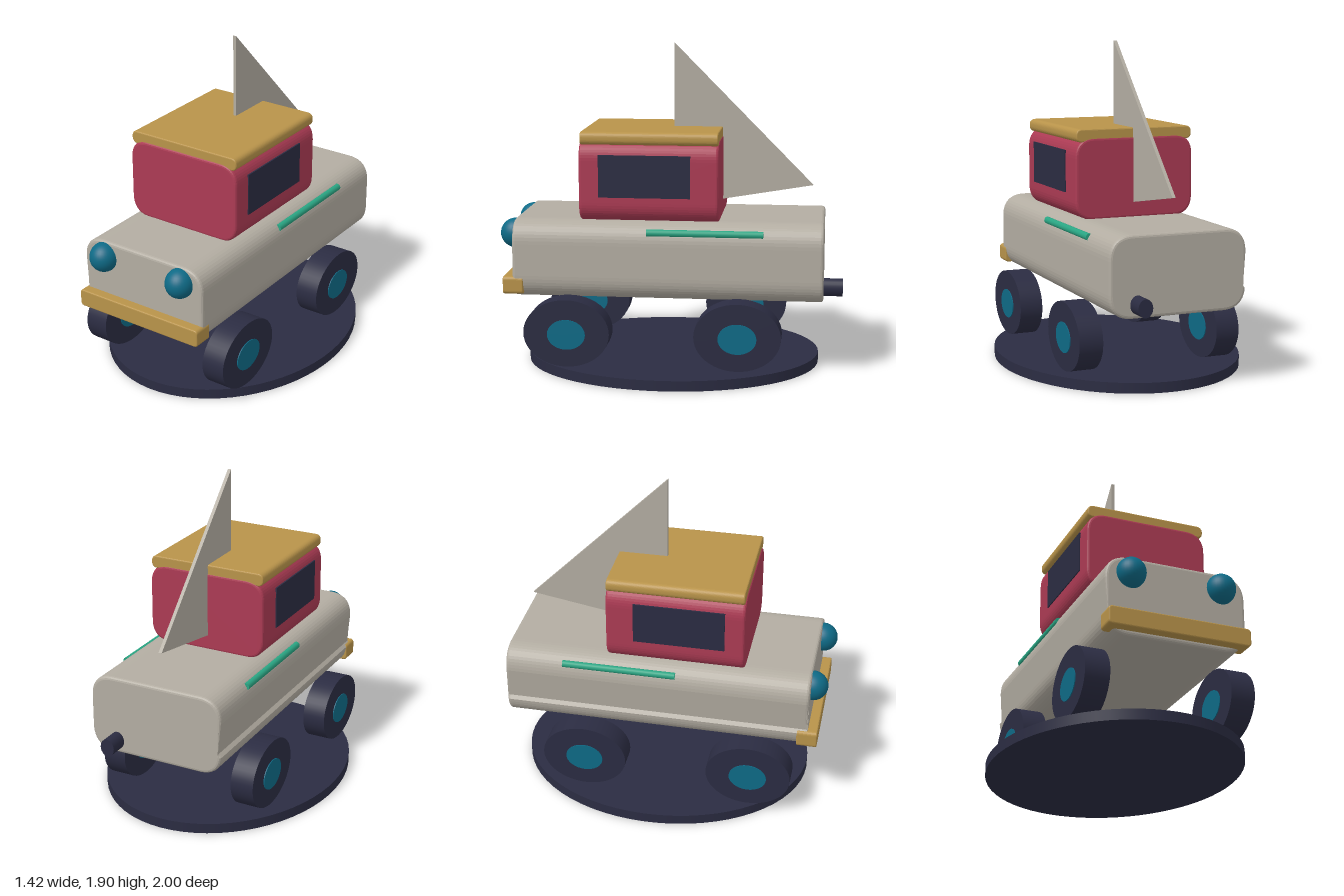
import * as THREE from 'three';

const flat = (name, hex) => {
  const m = new THREE.MeshStandardMaterial({ color: hex });
  m.name = name;
  return m;
};

// Rounded rectangle in x-y, extruded along z with a bevel; all sizes are outer sizes
function roundedBlock(w, y0, y1, z0, z1, r, b) {
  const x = w / 2 - b, lo = y0 + b, hi = y1 - b;
  const s = new THREE.Shape();
  s.moveTo(-x, lo + r);
  s.lineTo(-x, hi - r);
  s.quadraticCurveTo(-x, hi, -x + r, hi);
  s.lineTo(x - r, hi);
  s.quadraticCurveTo(x, hi, x, hi - r);
  s.lineTo(x, lo + r);
  s.quadraticCurveTo(x, lo, x - r, lo);
  s.lineTo(-x + r, lo);
  s.quadraticCurveTo(-x, lo, -x, lo + r);
  const g = new THREE.ExtrudeGeometry(s, {
    depth: z1 - z0 - 2 * b, bevelEnabled: true, bevelSize: b,
    bevelThickness: b, bevelSegments: 3, curveSegments: 12,
  });
  return g.translate(0, 0, z0 + b);
}

export function createModel() {
  const group = new THREE.Group();
  const stone = flat('warm grey', 0xb3ada2);
  const red = flat('crimson', 0xac3b54);
  const ochre = flat('ochre', 0xb8934a);
  const navy = flat('dark navy', 0x2b2c42);
  const teal = flat('teal', 0x0e6a86);
  const green = flat('green', 0x2aa583);

  const add = (name, geometry, material, x = 0, y = 0, z = 0) => {
    const mesh = new THREE.Mesh(geometry, material);
    mesh.name = name;
    mesh.position.set(x, y, z);
    group.add(mesh);
    return mesh;
  };

  // Oval base plate
  add('basePlate', new THREE.CylinderGeometry(1, 1, 0.06, 64).scale(0.71, 1, 0.872), navy, 0, 0.03, 0.01);

  // Main body, with a shallow crease low on one flank
  const body = roundedBlock(0.82, 0.435, 0.895, -0.89, 0.908, 0.12, 0.018);
  const p = body.attributes.position;
  for (let i = 0; i < p.count; i++) {
    if (p.getX(i) < -0.39 && Math.abs(p.getY(i) - 0.573) < 0.004) p.setX(i, -0.392);
  }
  body.computeVertexNormals();
  add('body', body, stone);

  // Cabin and roof
  add('cabin', roundedBlock(0.73, 0.887, 1.36, -0.287, 0.52, 0.1, 0.016), red);
  add('roof', roundedBlock(0.72, 1.335, 1.41, -0.283, 0.513, 0.027, 0.008), ochre);

  // Front bumper
  add('bumper', roundedBlock(0.826, 0.462, 0.566, 0.845, 0.965, 0.015, 0.008), ochre);

  // Triangular sail in the middle plane
  const tri = new THREE.Shape([
    new THREE.Vector2(0, 0.93), new THREE.Vector2(0.823, 1.07), new THREE.Vector2(0, 1.9),
  ]);
  const sail = new THREE.ExtrudeGeometry(tri, { depth: 0.02, bevelEnabled: false });
  sail.translate(0, 0, -0.01).rotateY(Math.PI / 2);
  add('sail', sail, stone, 0, 0, 0.005);

  // Exhaust pipe
  const pipe = new THREE.CylinderGeometry(1, 1, 0.2, 24).rotateX(Math.PI / 2).scale(0.043, 0.052, 1);
  add('exhaust', pipe, navy, 0.247, 0.513, -0.9);

  // Mirrored parts
  const light = new THREE.SphereGeometry(1, 32, 20).scale(0.083, 0.087, 0.088);
  const strip = new THREE.CylinderGeometry(1, 1, 0.67, 16).rotateX(Math.PI / 2).scale(0.02, 0.021, 1);
  const pane = new THREE.BoxGeometry(0.009, 0.245, 0.53);
  const tyre = new THREE.CylinderGeometry(1, 1, 0.14, 48).rotateZ(Math.PI / 2).scale(1, 0.197, 0.25);
  const hub = new THREE.CylinderGeometry(1, 1, 0.15, 32).rotateZ(Math.PI / 2).scale(1, 0.088, 0.111);
  for (const [side, s] of [['left', 1], ['right', -1]]) {
    add(side + 'Headlight', light, teal, s * 0.265, 0.8, 0.912);
    add(side + 'Strip', strip, green, s * 0.388, 0.837, -0.21);
    add(side + 'Window', pane, navy, s * 0.3665, 1.157, 0.14);
    for (const [end, z] of [['Front', 0.58], ['Rear', -0.406]]) {
      add(side + end + 'Tyre', tyre, navy, s * 0.42, 0.257, z);
      add(side + end + 'Hub', hub, teal, s * 0.42, 0.25, z);
    }
  }
  return group;
}
